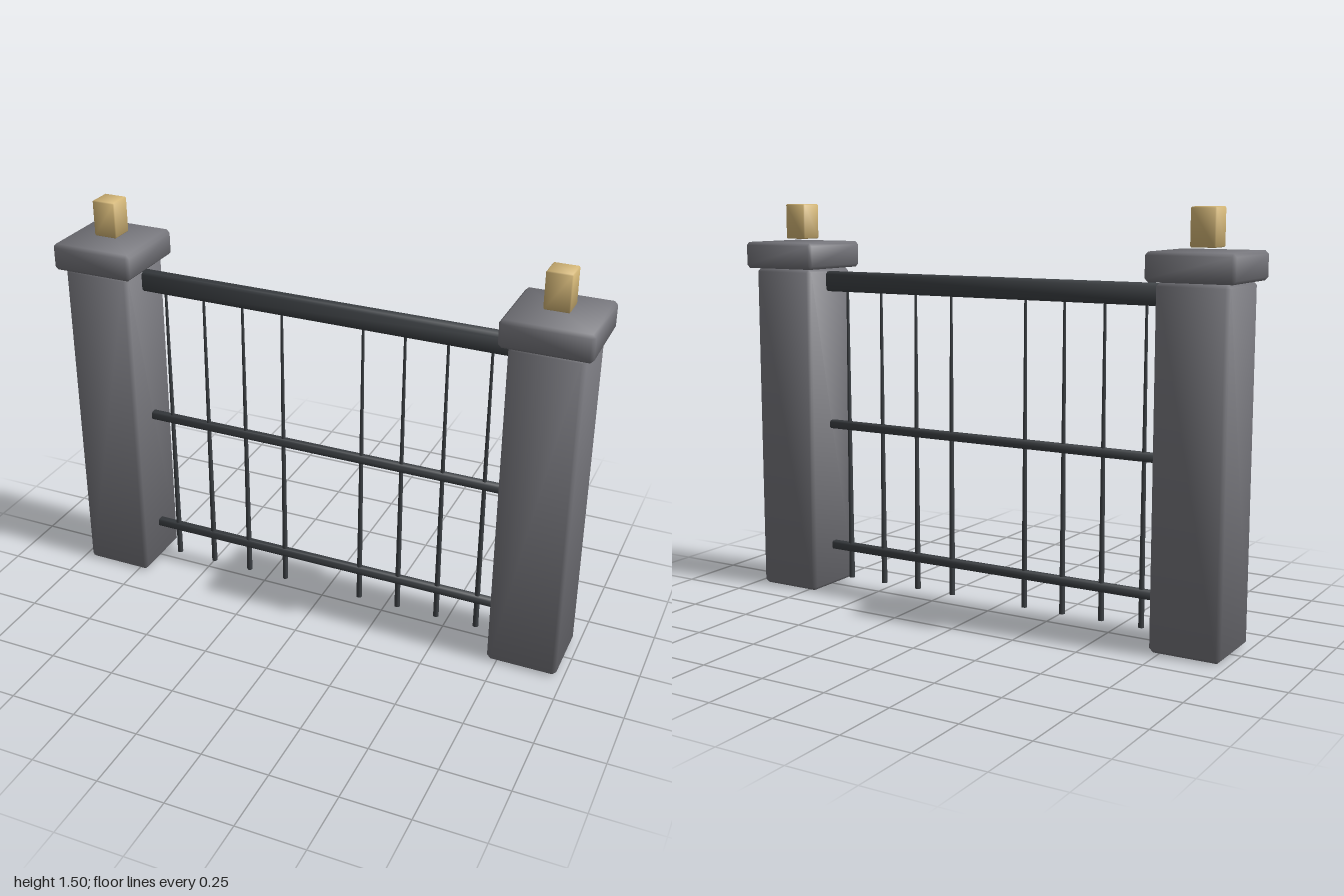
import * as THREE from 'three';
import { ConvexGeometry } from 'three/addons/geometries/ConvexGeometry.js';

// Box with bevelled edges and corners, shaded softly across the bevels.
function bevelBox(w, h, d, bevel) {
  const half = [w / 2, h / 2, d / 2];
  const points = [];
  for (let axis = 0; axis < 3; axis++) {
    for (const sx of [-1, 1]) for (const sy of [-1, 1]) for (const sz of [-1, 1]) {
      const p = [sx, sy, sz].map((s, i) => s * (half[i] - (i === axis ? 0 : bevel)));
      points.push(new THREE.Vector3(...p));
    }
  }
  const geometry = new ConvexGeometry(points);
  const pos = geometry.attributes.position;
  const n = new THREE.Vector3();
  for (let i = 0; i < pos.count; i++) {
    const c = [pos.getX(i), pos.getY(i), pos.getZ(i)];
    n.set(...c.map((v, k) => Math.sign(v) * (half[k] - Math.abs(v) < bevel / 2 ? 3 : 1.3))).normalize();
    geometry.attributes.normal.setXYZ(i, n.x, n.y, n.z);
  }
  return geometry;
}

export function createModel() {
  const model = new THREE.Group();
  model.name = 'fenceGate';

  const material = (name, color) => {
    const m = new THREE.MeshStandardMaterial({ color });
    m.name = name;
    return m;
  };
  const stone = material('greyStone', 0x77777d);
  const iron = material('darkIron', 0x3d4145);
  const glow = material('warmLamp', 0xd6b877);

  const add = (name, geometry, mat, x, y) => {
    const mesh = new THREE.Mesh(geometry, mat);
    mesh.name = name;
    mesh.position.set(x, y, 0);
    model.add(mesh);
  };

  const postGeo = bevelBox(0.26, 1.26, 0.26, 0.014);
  const capGeo = bevelBox(0.316, 0.1, 0.316, 0.012);
  const lampGeo = bevelBox(0.09, 0.133, 0.09, 0.004);
  const barGeo = new THREE.CylinderGeometry(0.005, 0.011, 1.15, 8);

  for (const [side, s] of [['left', 1], ['right', -1]]) {
    // Stone pillar, its cap and the lamp hovering above
    add(side + 'Post', postGeo, stone, s * 0.842, 0.63);
    add(side + 'Cap', capGeo, stone, s * 0.842, 1.31);
    add(side + 'Lamp', lampGeo, glow, s * 0.842, 1.438);
    // Tapered upright bars, with a gap in the middle
    for (let i = 1; i <= 4; i++) add(side + 'Bar' + i, barGeo, iron, s * i * 0.157, 0.615);
  }

  // Horizontal rails between the pillars
  add('topRail', bevelBox(1.46, 0.076, 0.05, 0.01), iron, 0, 1.21);
  add('middleRail', bevelBox(1.46, 0.032, 0.032, 0.006), iron, 0, 0.65);
  add('bottomRail', bevelBox(1.46, 0.032, 0.032, 0.006), iron, 0, 0.163);

  return model;
}
